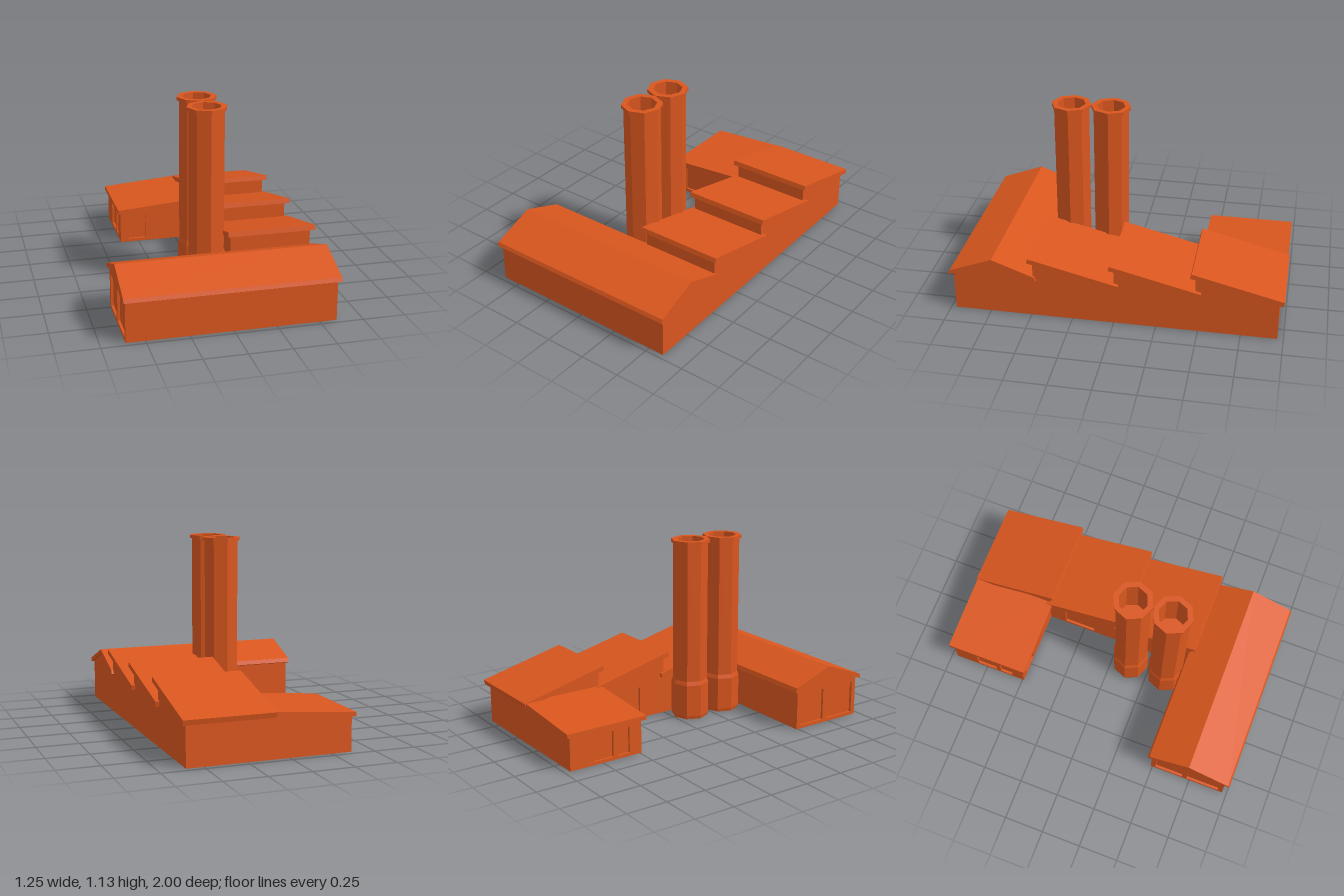
import * as THREE from 'three';

const INSET = 0.015; // depth of the door recesses

export function createModel() {
  const model = new THREE.Group();
  model.name = 'factory';
  const material = new THREE.MeshStandardMaterial({ color: 0xd9561e, flatShading: true });

  const add = (name, geometry, parent = model) => {
    const mesh = new THREE.Mesh(geometry, material);
    mesh.name = name;
    parent.add(mesh);
    return mesh;
  };
  // Outline with optional rectangular holes [u0, u1, y0, y1]
  const outline = (points, holes = []) => {
    const shape = new THREE.Shape(points.map(([u, y]) => new THREE.Vector2(u, y)));
    for (const [a, b, c, d] of holes) {
      shape.holes.push(new THREE.Path([[a, c], [a, d], [b, d], [b, c]].map(p => new THREE.Vector2(...p))));
    }
    return shape;
  };
  // (z, y) outline swept along x, or (x, y) outline swept along z
  const alongX = (points, x0, x1, holes) =>
    new THREE.ExtrudeGeometry(outline(points, holes), { depth: x1 - x0, bevelEnabled: false })
      .rotateY(-Math.PI / 2).translate(x1, 0, 0);
  const alongZ = (points, z0, z1, holes) =>
    new THREE.ExtrudeGeometry(outline(points, holes), { depth: z1 - z0, bevelEnabled: false })
      .translate(0, 0, z0);

  // Front hall: gabled block with recessed doors in its end wall
  const gable = [[0.49, 0], [0.97, 0], [0.97, 0.25], [0.73, 0.345], [0.49, 0.25]];
  add('frontHallWalls', alongX(gable, -0.61 + INSET, 0.6));
  add('frontHallDoorWall', alongX(gable, -0.61, -0.61 + INSET, [
    [0.52, 0.7, 0.02, 0.22], [0.73, 0.94, 0.02, 0.22],
  ]));
  add('frontHallRoof', alongX([
    [0.465, 0.245], [0.475, 0.27], [0.73, 0.365], [0.99, 0.267], [1.0, 0.245], [0.99, 0.24],
    [0.73, 0.34], [0.475, 0.24],
  ], -0.622, 0.615));

  // Sawtooth hall: one stepped profile, one sloping slab per tooth
  const teeth = [0.485, 0.0, -0.48];
  const profile = [[0.5, 0], [0.5, 0.25]];
  teeth.forEach((z, i) => {
    const end = i < 2 ? teeth[i + 1] : -0.965;
    profile.push([z, 0.25], [z, 0.375], [end, 0.25]);
  });
  profile.push([-0.965, 0]);
  const saw = profile.filter((p, i) => i === 0 || p[0] !== profile[i - 1][0] || p[1] !== profile[i - 1][1]);
  add('sawtoothHallWalls', alongX(saw, 0.11 + INSET, 0.6));
  add('sawtoothHallDoorWall', alongX(saw, 0.11, 0.11 + INSET, [[-0.38, -0.18, 0.02, 0.2]]));
  for (const z of teeth) {
    add('sawtoothRoof', alongX([
      [z + 0.022, 0.4], [z + 0.03, 0.372], [z - 0.508, 0.238], [z - 0.515, 0.268],
    ], 0.09, 0.625));
  }

  // Rear wing: low block with a gently sloping roof
  add('rearWingWalls', alongZ(
    [[-0.37 + INSET, 0], [0.13, 0], [0.13, 0.245], [-0.37 + INSET, 0.21]], -0.965, -0.49 - INSET));
  add('rearWingDoorWall', alongX(
    [[-0.965, 0], [-0.49 - INSET, 0], [-0.49 - INSET, 0.21], [-0.965, 0.21]], -0.37, -0.37 + INSET,
    [[-0.81, -0.68, 0.02, 0.18], [-0.65, -0.57, 0.02, 0.18]]));
  add('rearWingCourtWall', alongZ(
    [[-0.37, 0], [0.13, 0], [0.13, 0.245], [-0.37, 0.21]], -0.49 - INSET, -0.49,
    [[-0.32, -0.2, 0.02, 0.18]]));
  add('rearWingRoof', alongZ(
    [[-0.387, 0.205], [0.13, 0.245], [0.13, 0.272], [-0.387, 0.23]], -0.988, -0.465));

  // Twin octagonal chimneys, hollow at the top
  const stack = [
    [0, 0], [0.112, 0], [0.117, 0.02], [0.117, 0.22], [0.108, 0.245], [0.108, 1.11], [0.121, 1.11],
    [0.121, 1.13], [0.087, 1.13], [0.087, 0.85], [0, 0.85],
  ].map(p => new THREE.Vector2(...p));
  for (const z of [0.122, 0.364]) {
    add('chimney', new THREE.LatheGeometry(stack, 8)).position.set(-0.005, 0, z);
  }
  return model;
}
